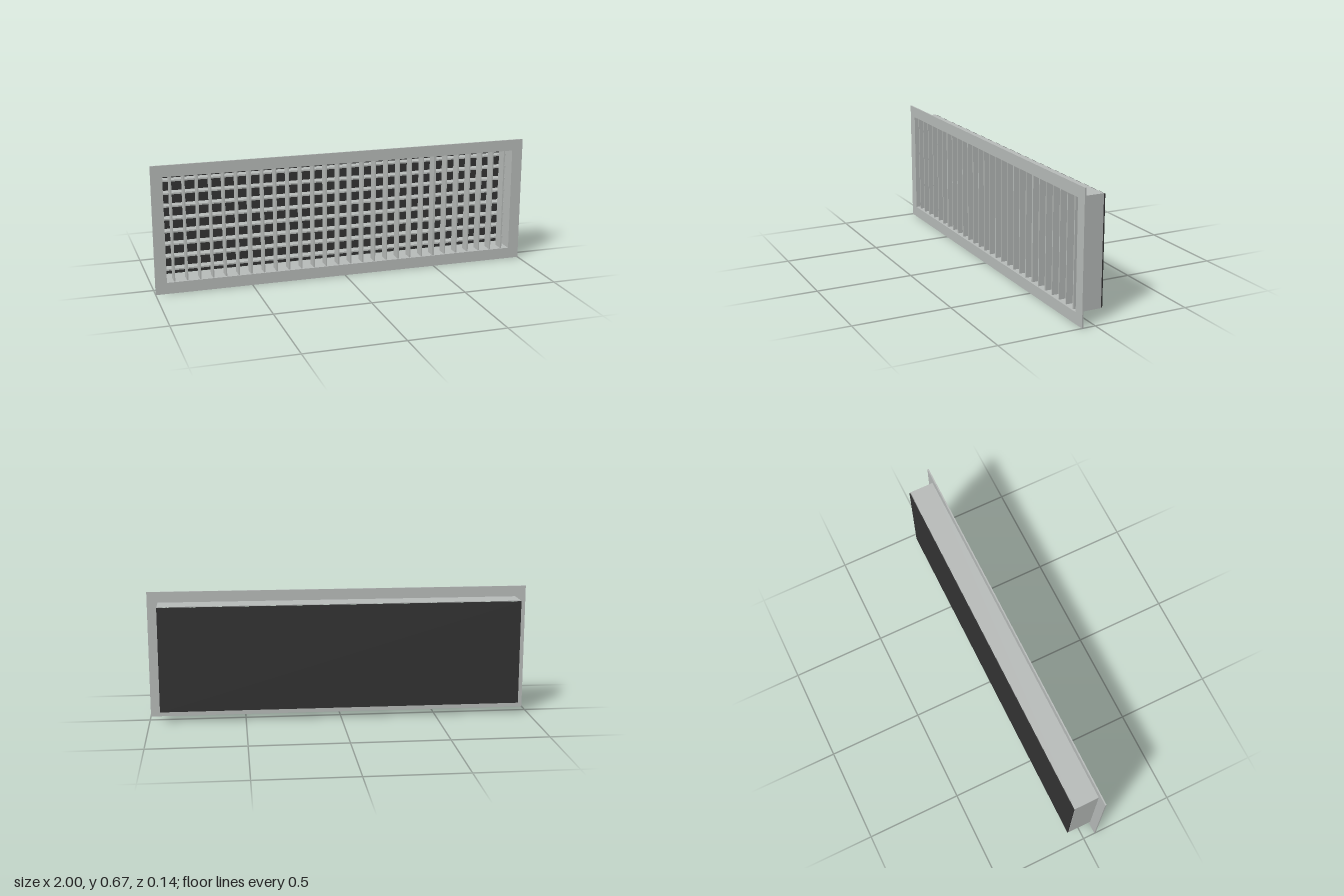
import * as THREE from 'three';

const W = 2, H = 0.667, CY = H / 2;      // flange size and vertical centre
const BW = 1.888, BH = 0.555;            // outer size of the duct collar
const WALL = 0.003, PITCH = 0.0667;      // sheet thickness and blade spacing

// Rectangular frame with a rectangular hole, extruded along z
function frame(w, h, iw, ih, depth, z) {
  const rect = (P, a, b) => {
    const p = new P();
    p.moveTo(-a / 2, -b / 2);
    p.lineTo(a / 2, -b / 2);
    p.lineTo(a / 2, b / 2);
    p.lineTo(-a / 2, b / 2);
    p.closePath();
    return p;
  };
  const shape = rect(THREE.Shape, w, h);
  shape.holes.push(rect(THREE.Path, iw, ih));
  const geo = new THREE.ExtrudeGeometry(shape, { depth, bevelEnabled: false });
  geo.translate(0, CY, z);
  return geo;
}

export function createModel() {
  const metal = new THREE.MeshStandardMaterial({ color: 0xb8bcba });
  metal.name = 'grey metal';
  const dark = new THREE.MeshStandardMaterial({ color: 0x333333 });
  dark.name = 'dark backing';

  const model = new THREE.Group();
  model.name = 'ventGrille';
  const add = (name, geo, mat, parent = model) => {
    const mesh = new THREE.Mesh(geo, mat);
    mesh.name = name;
    parent.add(mesh);
    return mesh;
  };
  const iw = BW - 2 * WALL, ih = BH - 2 * WALL;

  // Front flange and the collar behind it
  add('flange', frame(W, H, iw, ih, 0.007, 0.064), metal);
  add('collar', frame(BW, BH, iw, ih, 0.127, -0.063), metal);

  // Dark plate closing the back, with a narrow gap to the collar
  add('backPlate', new THREE.BoxGeometry(BW, 0.549, 0.004), dark)
    .position.set(0, CY, -0.068);

  // Vertical blades in front; the two at the third points are thicker
  const vertical = new THREE.Group();
  vertical.name = 'verticalBlades';
  model.add(vertical);
  for (let i = 0; i < 28; i++) {
    const divider = i === 6 || i === 21;
    const geo = new THREE.BoxGeometry(divider ? 0.012 : 0.007, ih, 0.06);
    add(divider ? 'dividerBlade' : 'verticalBlade', geo, metal, vertical)
      .position.set((i - 13.5) * PITCH, CY, 0.032);
  }

  // Horizontal blades behind the vertical ones
  const horizontal = new THREE.Group();
  horizontal.name = 'horizontalBlades';
  model.add(horizontal);
  const bladeGeo = new THREE.BoxGeometry(iw, 0.008, 0.05);
  for (let i = 0; i < 8; i++) {
    add('horizontalBlade', bladeGeo, metal, horizontal)
      .position.set(0, CY + (i - 3.5) * PITCH, -0.03);
  }

  return model;
}
